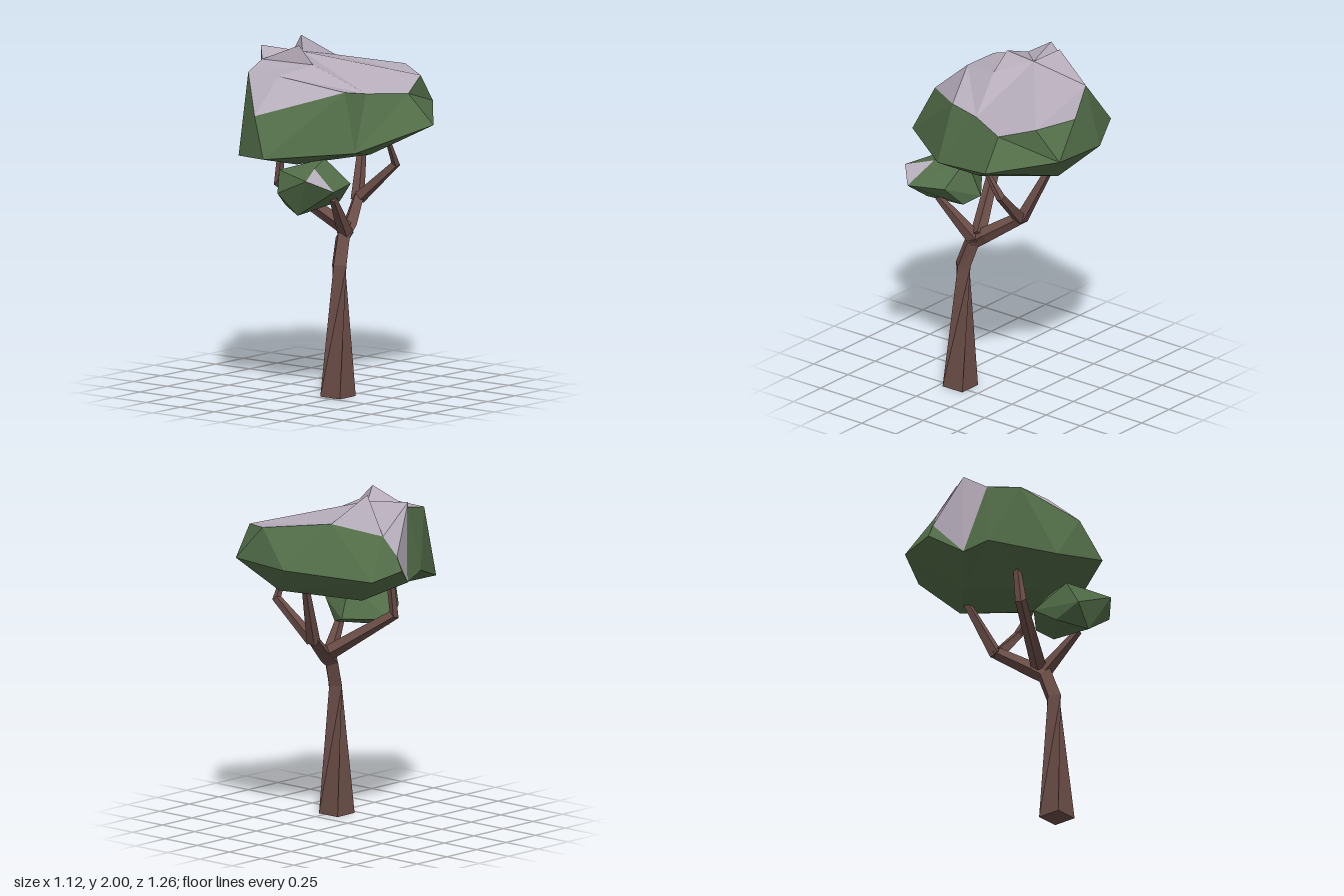
import * as THREE from 'three';
import { ConvexGeometry } from 'three/addons/geometries/ConvexGeometry.js';

const bark = new THREE.MeshStandardMaterial({ color: 0x6b4d47 });
const leaf = new THREE.MeshStandardMaterial({ color: 0x526d48 });
const snow = new THREE.MeshStandardMaterial({ color: 0xb6acba });
bark.name = 'bark'; leaf.name = 'leaf green'; snow.name = 'pale crown';

// Unshared corners give flat facets
function facets(points, name, material) {
  const geometry = new THREE.BufferGeometry().setFromPoints(points);
  geometry.computeVertexNormals();
  const mesh = new THREE.Mesh(geometry, material);
  mesh.name = name;
  return mesh;
}

// Four-sided tapering limb through [x, y, z, halfWidth, twist] sections
function limb(name, sections) {
  const centres = sections.map(([x, y, z]) => new THREE.Vector3(x, y, z));
  const last = centres.length - 1;
  const rings = centres.map((c, i) => {
    const [, , , half, twist = 0] = sections[i];
    const t = centres[Math.min(i + 1, last)].clone().sub(centres[Math.max(i - 1, 0)]).normalize();
    const u = new THREE.Vector3(1, 0, 0).cross(t).normalize();
    const v = t.clone().cross(u);
    return [0, 1, 2, 3].map((k) => {
      const a = (k + 0.5) * Math.PI / 2 + twist, r = half * Math.SQRT2;
      const p = c.clone().addScaledVector(u, r * Math.cos(a)).addScaledVector(v, r * Math.sin(a));
      if (c.y === 0) p.y = 0;
      return p;
    });
  });
  const out = [];
  for (let i = 0; i < last; i++) {
    const a = rings[i], b = rings[i + 1];
    for (let k = 0; k < 4; k++) {
      const n = (k + 1) % 4;
      out.push(a[k], a[n], b[n], a[k], b[n], b[k]);
    }
  }
  const s = rings[0], e = rings[last];
  out.push(s[0], s[2], s[1], s[0], s[3], s[2], e[0], e[1], e[2], e[0], e[2], e[3]);
  return facets(out, name, bark);
}

// Corners of the large crown
const corner = {
  // peaks and hollows on top
  m: [-0.20, 1.93, -0.05], n: [-0.30, 2.00, -0.16], p: [-0.12, 1.99, 0.08],
  o: [-0.01, 1.89, 0.09], q: [-0.07, 1.85, 0.33], i: [-0.45, 1.95, 0.02],
  // edge of the pale cap
  a: [0.11, 1.82, -0.60], l: [-0.24, 1.86, -0.40], k: [-0.44, 1.78, -0.18],
  j: [-0.52, 1.67, -0.15], h: [-0.36, 1.89, 0.12], g: [-0.30, 1.85, 0.32],
  f: [-0.06, 1.65, 0.56], e: [0.28, 1.77, 0.16], d: [0.29, 1.74, -0.02],
  c: [0.40, 1.72, -0.27], b: [0.32, 1.79, -0.48],
  // widest ring
  A: [-0.08, 1.60, -0.63], I: [-0.52, 1.55, -0.36], H: [-0.56, 1.59, -0.15],
  J: [-0.45, 1.48, 0.02], G: [-0.41, 1.52, 0.17], F: [-0.21, 1.40, 0.52],
  E: [0.06, 1.42, 0.63], D: [0.38, 1.43, 0.19], C: [0.56, 1.55, -0.30], B: [0.29, 1.62, -0.63],
  // underside
  K: [0.00, 1.335, 0.25], L: [0.30, 1.385, -0.05], M: [0.10, 1.43, -0.47], N: [-0.25, 1.37, -0.15],
};

// Each fan is a hub letter followed by its rim
function fans(name, material, list) {
  const at = (s) => new THREE.Vector3(...corner[s]);
  const out = [];
  for (const [hub, ...rim] of list.split(' ')) {
    for (let i = 0; i < rim.length - 1; i++) out.push(at(hub), at(rim[i]), at(rim[i + 1]));
  }
  return facets(out, name, material);
}

// Small crown: a convex lump with one pale face
function smallCrown() {
  const pale = [[0.21, 1.345, 0.35], [0.335, 1.25, 0.175], [0.393, 1.235, 0.40], [0.277, 1.30, 0.51]]
    .map((p) => new THREE.Vector3(...p));
  const rest = [[0.14, 1.375, 0.17], [0, 1.325, 0.41], [0.035, 1.2, 0.47], [-0.09, 1.17, 0.24],
    [-0.01, 1.11, 0.34], [0.16, 1.08, 0.44], [0.12, 1.165, 0.08], [0.22, 1.13, 0.13]]
    .map((p) => new THREE.Vector3(...p));
  const pos = new ConvexGeometry([...pale, ...rest]).getAttribute('position');
  const top = [], body = [];
  for (let i = 0; i < pos.count; i += 3) {
    const tri = [0, 1, 2].map((k) => new THREE.Vector3().fromBufferAttribute(pos, i + k));
    const isPale = tri.every((v) => pale.some((p) => p.distanceTo(v) < 1e-4));
    (isPale ? top : body).push(...tri);
  }
  const group = new THREE.Group();
  group.name = 'smallCrown';
  group.add(facets(body, 'smallCrownLeaves', leaf), facets(top, 'smallCrownTop', snow));
  return group;
}

export function createModel() {
  const tree = new THREE.Group();
  tree.name = 'tree';

  // Trunk turns an eighth of a circle as it rises, then leans back
  const turn = Math.PI / 4;
  tree.add(
    limb('trunk', [[0.222, 0, 0.15, 0.072], [0.217, 0.76, 0.132, 0.037, turn], [0.2, 0.91, 0.08, 0.035, turn],
      [0.185, 0.965, 0, 0.032, turn], [0.09, 1.1, -0.2, 0.025, turn]]),
    limb('rightBranch', [[0.2, 0.955, 0.04, 0.032], [-0.168, 1.215, 0.21, 0.023], [-0.165, 1.42, 0.18, 0.016]]),
    limb('frontBranch', [[0.2, 0.92, 0.05, 0.033], [0.28, 1.165, 0.265, 0.015]]),
    limb('backBranch', [[0.09, 1.08, -0.19, 0.028], [0, 1.46, -0.36, 0.015]]),
    limb('leftBranch', [[0.1, 1.09, -0.19, 0.027], [0.335, 1.31, -0.235, 0.019], [0.355, 1.46, -0.14, 0.01]]),
  );

  // Large crown
  const crown = new THREE.Group();
  crown.name = 'largeCrown';
  crown.add(
    fans('largeCrownTop', snow, 'mdblnkihpod nlk lba dcb ophgqd qgfed ikjJh'),
    fans('largeCrownSides', leaf, 'laAIk kIHj jHJ hJGg gGFf fFEe eEDd dDc cDCBb bBa aBA'),
    fans('largeCrownUnderside', leaf, 'MIABC LMCDK KDEFG NMLKGJHIM'),
  );
  tree.add(crown, smallCrown());
  return tree;
}
